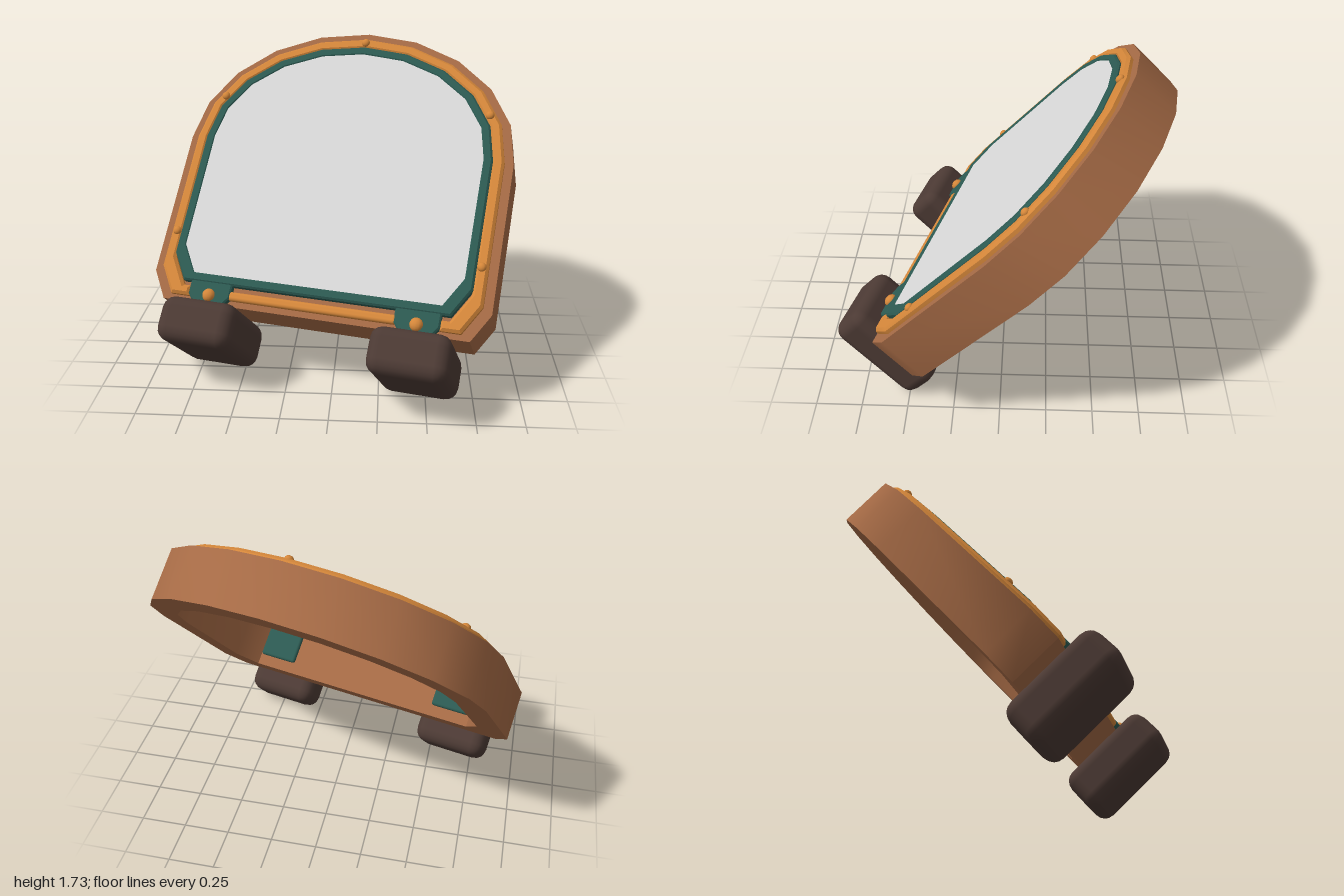
import * as THREE from 'three';
import { toCreasedNormals } from 'three/addons/utils/BufferGeometryUtils.js';
import { RoundedBoxGeometry } from 'three/addons/geometries/RoundedBoxGeometry.js';

const mat = (name, color) => new THREE.MeshStandardMaterial({ name, color });

// Arched window outline, shrunk inwards by an inset; starts and ends on the sill
function outline(inset, sill = inset) {
  const hw = 0.935 - inset, b = hw - 0.09, pts = [];
  pts.push([b, sill], [hw, sill + 0.15]);
  for (let i = 0; i <= 10; i++) {
    const a = (i / 10) * Math.PI;
    pts.push([hw * Math.cos(a), 0.98 + (0.75 - inset) * Math.sin(a)]);
  }
  pts.push([-hw, sill + 0.15], [-b, sill]);
  return pts.map(([x, y]) => new THREE.Vector2(x, y));
}

// Extrude a shape between two depths, smooth round the arch and sharp at edges
function slab(shape, back, front, bevel = 0) {
  const g = new THREE.ExtrudeGeometry(shape, {
    depth: front - back - bevel, bevelEnabled: bevel > 0, bevelSize: bevel,
    bevelThickness: bevel, bevelOffset: -bevel, bevelSegments: 1,
  });
  g.translate(0, 0, back);
  return toCreasedNormals(g, 0.55);
}

function ring(outer, inner) {
  const s = new THREE.Shape(outer);
  s.holes.push(new THREE.Path(inner));
  return s;
}

export function createModel() {
  const wood = mat('brown wood', 0xa56a45);
  const brass = mat('orange brass', 0xd5873a);
  const green = mat('dark green', 0x2c5a52);
  const pane = mat('pale grey', 0xd8d8d8);
  const rubber = mat('dark brown', 0x4c3a34);

  const model = new THREE.Group();
  const body = new THREE.Group();
  body.name = 'tiltedWindow';
  body.rotation.order = 'YXZ';
  body.rotation.set(-0.72, -0.24, 0);
  body.position.set(-0.119, 0.432, 0.465);
  model.add(body);

  const add = (name, geo, material, x = 0, y = 0, z = 0) => {
    const m = new THREE.Mesh(geo, material);
    m.name = name;
    m.position.set(x, y, z);
    body.add(m);
    return m;
  };

  // Deep frame, seal and pane
  add('frame', slab(ring(outline(0), outline(0.155)), -0.28, 0), wood);
  add('seal', slab(ring(outline(0.108), outline(0.162)), -0.02, 0.045, 0.01), green);
  add('pane', slab(new THREE.Shape(outline(0.156)), -0.02, 0.04), pane);

  // Raised trim, open at the two brackets
  const strip = [
    new THREE.Vector2(0.69, 0.03), ...outline(0.047, 0.03), new THREE.Vector2(-0.69, 0.03),
    new THREE.Vector2(-0.69, 0.085), ...outline(0.112, 0.085).reverse(), new THREE.Vector2(0.69, 0.085),
  ];
  add('trim', slab(new THREE.Shape(strip), -0.005, 0.035, 0.015), brass);
  add('sillTrim', new RoundedBoxGeometry(0.93, 0.05, 0.045, 2, 0.018), brass, 0, 0.055, 0.015);

  const stud = (name, r, x, y, z) => {
    add(name, new THREE.SphereGeometry(r, 12, 8), brass, x, y, z).scale.z = 0.8;
  };
  stud('topStud', 0.024, 0, 1.652, 0.035);

  for (const s of [-1, 1]) {
    stud('sideStud', 0.024, s * 0.853, 0.385, 0.035);
    stud('shoulderStud', 0.024, s * 0.776, 1.245, 0.035);

    // Bracket: plate on the front and a tongue along the inner sill
    const x = s * 0.571;
    const plate = new THREE.Shape([
      [-0.09, 0], [0.09, 0], [0.12, 0.04], [0.12, 0.12], [0.09, 0.15], [-0.09, 0.15], [-0.12, 0.12], [-0.12, 0.04],
    ].map(([px, py]) => new THREE.Vector2(px, py)));
    add('bracketPlate', slab(plate, -0.01, 0.04, 0.008), green, x, 0, 0);
    add('bracketTongue', new RoundedBoxGeometry(0.23, 0.05, 0.2, 2, 0.015), green, x, 0.15, -0.115);
    stud('bracketBolt', 0.036, x, 0.042, 0.038);

    // Chunky foot running back under the frame
    add('foot', new RoundedBoxGeometry(0.42, 0.245, 0.57, 2, 0.07), rubber, x, -0.125, -0.125);
  }
  return model;
}
